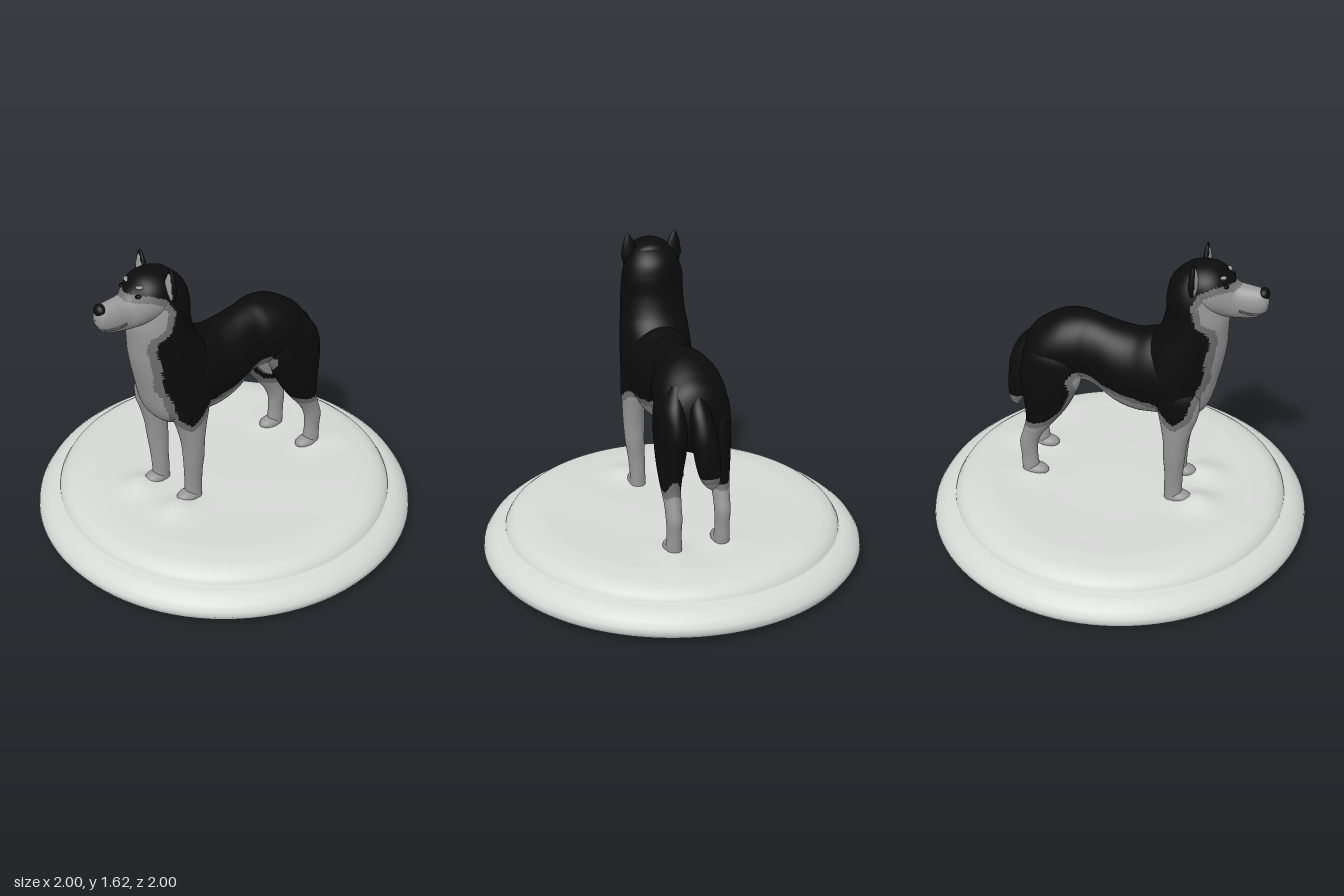
import * as THREE from 'three';

const mat = (name, color) => Object.assign(new THREE.MeshStandardMaterial({ color }), { name });

// Side outline (z, y) of the dark coat; above and behind it everything is black.
const COAT = [
  [0.585, 1.7], [0.585, 1.5], [0.51, 1.5], [0.44, 1.47], [0.405, 1.4], [0.43, 1.3], [0.49, 1.25], [0.5, 1.2],
  [0.48, 1.1], [0.47, 0.98], [0.44, 0.92], [0.42, 0.85], [0.4, 0.78], [0.34, 0.73], [0.3, 0.76],
  [0.24, 0.81], [0.1, 0.83], [-0.05, 0.86], [-0.15, 0.91], [-0.2, 0.91], [-0.235, 0.87], [-0.22, 0.78],
  [-0.27, 0.67], [-0.34, 0.6], [-0.42, 0.57], [-0.49, 0.56], [-0.53, 0.65], [-0.7, 0.67], [-0.7, 1.7],
];

// Fur tone of a point: 0 black coat, 1 blended border, 2 pale fur.
function furTone(x, y, z) {
  let inside = false, near = 9;
  COAT.forEach(([az, ay], i) => {
    const [bz, by] = COAT[(i + 1) % COAT.length];
    if ((ay > y) !== (by > y) && z < az + ((y - ay) / (by - ay)) * (bz - az)) inside = !inside;
    const dz = bz - az, dy = by - ay;
    const t = THREE.MathUtils.clamp(((z - az) * dz + (y - ay) * dy) / (dz * dz + dy * dy), 0, 1);
    near = Math.min(near, Math.hypot(z - az - t * dz, y - ay - t * dy));
  });
  const innerThigh = Math.abs(x) < 0.07 && y < 0.82 && z < -0.15 && z > -0.47;
  if (inside && !innerThigh) return 0;
  return near < 0.032 ? 1 : 2;
}

// Smooth loft through elliptical sections [position, x, other, radiusX, radiusOther]
// stacked along 'y' or 'z', painted by the coat rule.
function loft(name, axis, sections, furs, side = 1, shift = 0, rows = 90, cols = 64) {
  const dir = axis === 'y' ? 1 : -1;
  const s = [...sections].sort((a, b) => dir * (a[0] - b[0]));
  const path = new THREE.CatmullRomCurve3(s.map((p) => new THREE.Vector3(p[1] * side, p[0], p[2])), false, 'catmullrom');
  const size = new THREE.CatmullRomCurve3(s.map((p) => new THREE.Vector3(p[3], p[4], 0)), false, 'catmullrom');
  const pos = [], tones = [[], [], []];
  for (let i = 0; i <= rows; i++) {
    const c = path.getPoint(i / rows), r = size.getPoint(i / rows);
    for (let j = 0; j < cols; j++) {
      const a = (j / cols) * Math.PI * 2;
      const x = c.x + Math.max(r.x, 0.001) * Math.cos(a);
      const o = c.z + Math.max(r.y, 0.001) * Math.sin(a);
      if (axis === 'y') pos.push(x, c.y, o + shift);
      else pos.push(x, o, c.y + shift);
    }
  }
  const addFace = (...f) => {
    const mid = [0, 1, 2].map((k) => (pos[f[0] * 3 + k] + pos[f[1] * 3 + k] + pos[f[2] * 3 + k]) / 3);
    tones[furTone(...mid)].push(...f);
  };
  for (let i = 0; i < rows; i++) {
    for (let j = 0; j < cols; j++) {
      const a = i * cols + j, b = i * cols + ((j + 1) % cols);
      addFace(a, a + cols, b);
      addFace(b, a + cols, b + cols);
    }
  }
  const g = new THREE.BufferGeometry();
  g.setAttribute('position', new THREE.Float32BufferAttribute(pos, 3));
  g.setIndex(tones.flat());
  let start = 0;
  tones.forEach((t, i) => { g.addGroup(start, t.length, i); start += t.length; });
  g.computeVertexNormals();
  const mesh = new THREE.Mesh(g, furs);
  mesh.name = name;
  return mesh;
}

function blob(name, material, [x, y, z], [rx, ry, rz]) {
  const m = new THREE.Mesh(new THREE.SphereGeometry(1, 24, 16), material);
  m.position.set(x, y, z);
  m.scale.set(rx, ry, rz);
  m.name = name;
  return m;
}

// Round plinth with a stepped rim, a plug underneath and drifts around the paws.
function makeBase(material) {
  const outline = [
    [0, 0], [0.25, 0], [0.3, 0.012], [0.32, 0.05], [0.36, 0.044], [0.42, 0.025], [0.5, 0.014], [0.9, 0.012], [0.95, 0.015],
    [0.985, 0.035], [1, 0.06], [0.995, 0.085], [0.975, 0.115], [0.94, 0.143], [0.9, 0.157], [0.882, 0.155],
    [0.88, 0.165], [0.865, 0.19], [0.835, 0.213], [0.79, 0.226], [0.72, 0.233],
  ].map(([r, y]) => new THREE.Vector2(r, y));
  for (let i = 35; i >= 0; i--) outline.push(new THREE.Vector2((i / 36) * 0.72, 0.236));
  const g = new THREE.LatheGeometry(outline, 96);
  const drifts = [[-0.12, 0.47, 0.04], [0.15, 0.43, 0.035], [-0.15, -0.44, 0.015], [0.14, -0.5, 0.02], [0.16, -0.64, 0.012]];
  const p = g.attributes.position;
  for (let i = 0; i < p.count; i++) {
    if (p.getY(i) < 0.22) continue;
    const x = p.getX(i), z = p.getZ(i);
    let y = p.getY(i) + 0.004 * Math.sin(x * 6 + 1) * Math.cos(z * 5);
    for (const [dx, dz, h] of drifts) y += h * Math.exp(-(((x - dx) / 0.08) ** 2) - ((z - dz) / 0.1) ** 2);
    p.setY(i, y);
  }
  g.computeVertexNormals();
  const m = new THREE.Mesh(g, material);
  m.name = 'base';
  return m;
}

export function createModel() {
  const model = new THREE.Group();
  const stone = mat('paleStone', 0xd6d8d6);
  const black = mat('blackFur', 0x0b0b0b);
  const mid = mat('borderFur', 0x6e6e6e);
  const pale = mat('paleFur', 0x969696);
  const furs = [black, mid, pale];

  model.add(makeBase(stone));

  // Torso, deep chest to tucked waist and rump
  model.add(loft('torso', 'z', [
    [0.5, 0, 0.93, 0.001, 0.001], [0.46, 0, 0.92, 0.12, 0.14], [0.35, 0, 0.93, 0.185, 0.215], [0.2, 0, 0.93, 0.18, 0.235],
    [0.1, 0, 0.917, 0.17, 0.227], [0, 0, 0.935, 0.162, 0.215], [-0.12, 0, 0.985, 0.143, 0.193], [-0.2, 0, 1, 0.162, 0.19],
    [-0.3, 0, 0.99, 0.178, 0.187], [-0.4, 0, 0.95, 0.172, 0.175], [-0.48, 0, 0.9, 0.13, 0.15], [-0.53, 0, 0.88, 0.001, 0.001],
  ], furs, 1, 0, 130));

  // Breast, neck and ruff
  model.add(loft('neck', 'y', [
    [0.68, 0, 0.34, 0.001, 0.001], [0.72, 0, 0.34, 0.1, 0.08], [0.8, 0, 0.34, 0.175, 0.14], [0.95, 0, 0.32, 0.19, 0.2],
    [1.1, 0, 0.35, 0.182, 0.2], [1.2, 0, 0.385, 0.172, 0.17], [1.3, 0, 0.4, 0.165, 0.155], [1.4, 0, 0.39, 0.16, 0.14],
    [1.48, 0, 0.395, 0.135, 0.125], [1.54, 0, 0.41, 0.09, 0.08], [1.57, 0, 0.42, 0.001, 0.001],
  ], furs, 1, 0, 110));

  // Skull and muzzle
  model.add(loft('head', 'z', [
    [0.29, 0, 1.44, 0.001, 0.001], [0.33, 0, 1.45, 0.09, 0.09], [0.38, 0, 1.45, 0.13, 0.12], [0.45, 0, 1.45, 0.138, 0.128],
    [0.51, 0, 1.44, 0.125, 0.122], [0.56, 0, 1.415, 0.095, 0.105], [0.6, 0, 1.4, 0.07, 0.092], [0.67, 0, 1.4, 0.06, 0.082],
    [0.715, 0, 1.405, 0.05, 0.07], [0.74, 0, 1.41, 0.035, 0.045], [0.75, 0, 1.41, 0.001, 0.001],
  ], furs, 1, 0, 110));
  model.add(blob('nose', black, [0, 1.45, 0.722], [0.035, 0.033, 0.028]));

  // Mouth line
  const lip = new THREE.CatmullRomCurve3([[-0.069, 1.375, 0.62], [-0.056, 1.362, 0.68], [-0.03, 1.362, 0.725],
    [0, 1.375, 0.741], [0.03, 1.362, 0.725], [0.056, 1.362, 0.68], [0.069, 1.375, 0.62]].map((p) => new THREE.Vector3(...p)));
  const mouth = new THREE.Mesh(new THREE.TubeGeometry(lip, 32, 0.005, 6), mid);
  mouth.name = 'mouth';
  model.add(mouth);

  const earOutline = [[0.001, -0.03], [0.035, 0], [0.046, 0.05], [0.032, 0.11], [0.014, 0.15], [0.001, 0.165]]
    .map(([r, y]) => new THREE.Vector2(r, y));
  const earGeometry = new THREE.LatheGeometry(earOutline, 24);

  const thigh = [
    [1.08, 0.09, -0.35, 0.03, 0.05], [0.98, 0.11, -0.35, 0.072, 0.13], [0.87, 0.112, -0.35, 0.08, 0.165], [0.76, 0.118, -0.365, 0.074, 0.145],
    [0.66, 0.125, -0.385, 0.063, 0.112], [0.57, 0.13, -0.415, 0.05, 0.076], [0.49, 0.13, -0.455, 0.042, 0.055],
    [0.42, 0.13, -0.48, 0.04, 0.05], [0.34, 0.13, -0.48, 0.036, 0.045], [0.27, 0.13, -0.475, 0.04, 0.047], [0.2, 0.13, -0.47, 0.04, 0.045],
  ];
  const foreleg = [
    [0.98, 0.12, 0.33, 0.03, 0.05], [0.88, 0.125, 0.335, 0.062, 0.11], [0.78, 0.13, 0.34, 0.064, 0.105], [0.7, 0.13, 0.335, 0.06, 0.085],
    [0.6, 0.13, 0.33, 0.057, 0.064], [0.5, 0.128, 0.325, 0.052, 0.057], [0.4, 0.12, 0.323, 0.046, 0.049],
    [0.3, 0.115, 0.32, 0.042, 0.047], [0.2, 0.115, 0.32, 0.042, 0.047],
  ];

  // Paired parts; the left legs stand slightly further back
  for (const side of [-1, 1]) {
    const label = side > 0 ? 'left' : 'right';
    const hindShift = side > 0 ? -0.025 : 0.015, foreShift = side > 0 ? -0.03 : 0.012;
    model.add(loft(label + 'HindLeg', 'y', thigh, furs, side, hindShift, 90, 48));
    model.add(loft(label + 'FrontLeg', 'y', foreleg, furs, side, foreShift, 80, 40));
    model.add(blob(label + 'HindPaw', pale, [0.13 * side, 0.25, -0.445 + hindShift], [0.046, 0.035, 0.07]));
    model.add(blob(label + 'FrontPaw', pale, [0.115 * side, 0.25, 0.35 + foreShift], [0.047, 0.035, 0.07]));

    const ear = new THREE.Group();
    ear.name = label + 'Ear';
    const back = new THREE.Mesh(earGeometry, black);
    back.name = 'earBack';
    back.scale.z = 0.5;
    const inner = new THREE.Mesh(earGeometry, pale);
    inner.name = 'innerEar';
    inner.scale.set(0.84, 0.88, 0.42);
    inner.position.z = 0.007;
    ear.add(back, inner);
    ear.position.set(0.112 * side, 1.452, 0.405);
    ear.rotation.z = -0.08 * side;
    model.add(ear);

    const eye = blob(label + 'Eye', black, [0.062 * side, 1.492, 0.551], [0.022, 0.011, 0.014]);
    eye.rotation.z = 0.3 * side;
    const brow = blob(label + 'Brow', pale, [0.05 * side, 1.528, 0.532], [0.024, 0.009, 0.016]);
    brow.rotation.z = 0.2 * side;
    model.add(eye, brow);
  }

  // Hanging tail with a pale tip
  model.add(loft('tail', 'y', [
    [1.06, 0, -0.42, 0.02, 0.04], [0.98, 0, -0.485, 0.05, 0.06], [0.88, -0.01, -0.535, 0.06, 0.058], [0.78, -0.02, -0.55, 0.065, 0.057],
    [0.68, -0.03, -0.562, 0.056, 0.047], [0.62, -0.04, -0.565, 0.04, 0.033], [0.58, -0.045, -0.562, 0.001, 0.001],
  ], furs, 1, 0, 80, 40));

  return model;
}
